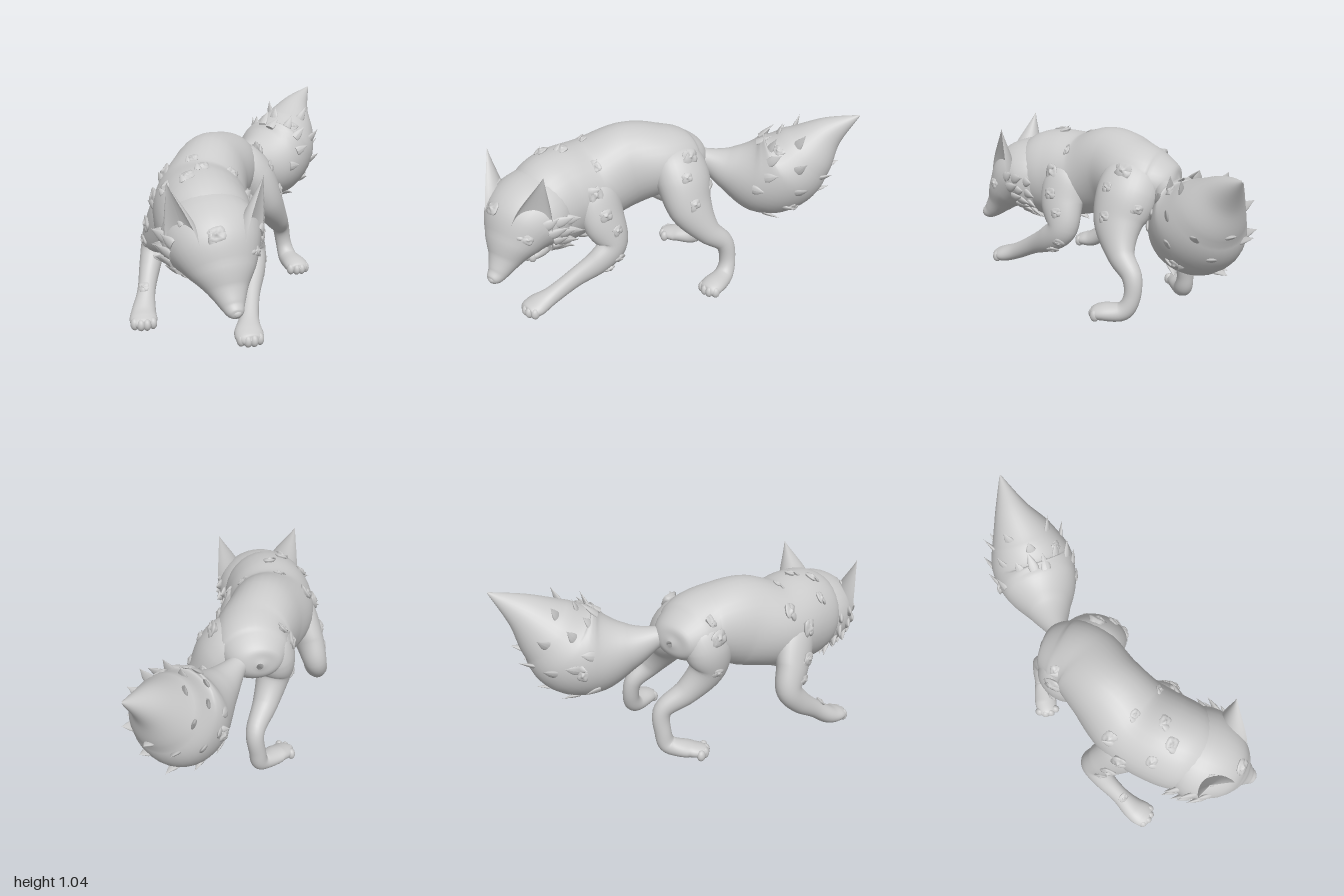
import * as THREE from 'three';

const V = (x, y, z) => new THREE.Vector3(x, y, z);
const material = new THREE.MeshStandardMaterial({ color: 0xcccccc });
const twoSided = new THREE.MeshStandardMaterial({ color: 0xcccccc, side: THREE.DoubleSide });

// Cross-sections along each part: x, y, z, half width, half depth
const BODY = [
  [-0.06, 0.73, -0.455, 0.02, 0.02], [-0.06, 0.73, -0.425, 0.13, 0.1], [-0.065, 0.735, -0.32, 0.2, 0.165],
  [-0.085, 0.75, -0.18, 0.225, 0.21], [-0.2, 0.73, 0, 0.23, 0.265], [-0.3, 0.66, 0.2, 0.265, 0.26],
  [-0.34, 0.63, 0.4, 0.27, 0.285], [-0.345, 0.605, 0.56, 0.25, 0.265], [-0.345, 0.58, 0.72, 0.15, 0.17]];
const HEAD = [
  [-0.345, 0.6, 0.42, 0.15, 0.15], [-0.345, 0.6, 0.52, 0.245, 0.24], [-0.345, 0.59, 0.63, 0.275, 0.245],
  [-0.34, 0.555, 0.72, 0.245, 0.22], [-0.328, 0.475, 0.805, 0.185, 0.145], [-0.318, 0.39, 0.87, 0.11, 0.088],
  [-0.31, 0.325, 0.93, 0.065, 0.057], [-0.305, 0.3, 0.975, 0.04, 0.035], [-0.303, 0.293, 0.995, 0.005, 0.005]];
const TAIL = [
  [0.0, 0.74, -0.36, 0.06, 0.06], [0.07, 0.715, -0.41, 0.065, 0.065], [0.19, 0.66, -0.5, 0.13, 0.14],
  [0.335, 0.63, -0.61, 0.225, 0.245], [0.45, 0.67, -0.71, 0.24, 0.27], [0.54, 0.785, -0.795, 0.195, 0.205],
  [0.63, 0.915, -0.89, 0.1, 0.11], [0.765, 1.035, -1, 0.004, 0.004]];
const HIND_LEFT = [
  [-0.03, 0.87, -0.21, 0.04, 0.05], [0.02, 0.79, -0.2, 0.12, 0.16], [0.1, 0.67, -0.18, 0.145, 0.185],
  [0.185, 0.52, -0.16, 0.115, 0.15], [0.28, 0.37, -0.21, 0.075, 0.085], [0.345, 0.27, -0.3, 0.055, 0.06],
  [0.37, 0.15, -0.31, 0.05, 0.05], [0.385, 0.065, -0.26, 0.06, 0.055], [0.4, 0.052, -0.15, 0.075, 0.05],
  [0.405, 0.045, -0.09, 0.06, 0.035], [0.405, 0.045, -0.07, 0.005, 0.005]];
const HIND_RIGHT = [
  [-0.1, 0.86, -0.27, 0.04, 0.04], [-0.14, 0.77, -0.27, 0.12, 0.14], [-0.19, 0.67, -0.26, 0.125, 0.165],
  [-0.19, 0.53, -0.27, 0.1, 0.13], [-0.12, 0.4, -0.37, 0.075, 0.08], [-0.03, 0.3, -0.49, 0.055, 0.06],
  [-0.04, 0.16, -0.51, 0.05, 0.05], [-0.07, 0.065, -0.49, 0.055, 0.055], [-0.19, 0.05, -0.43, 0.07, 0.045],
  [-0.26, 0.045, -0.39, 0.05, 0.03], [-0.275, 0.045, -0.38, 0.005, 0.005]];
const FRONT_LEFT = [
  [-0.2, 0.78, 0.29, 0.04, 0.05], [-0.15, 0.67, 0.3, 0.11, 0.14], [-0.08, 0.52, 0.31, 0.1, 0.14],
  [-0.025, 0.37, 0.29, 0.08, 0.1], [-0.04, 0.28, 0.38, 0.067, 0.085], [-0.1, 0.195, 0.53, 0.052, 0.06],
  [-0.15, 0.115, 0.67, 0.055, 0.052], [-0.18, 0.075, 0.77, 0.08, 0.05], [-0.185, 0.065, 0.83, 0.062, 0.035],
  [-0.185, 0.065, 0.85, 0.005, 0.005]];
const FRONT_RIGHT = [
  [-0.42, 0.74, 0.25, 0.04, 0.05], [-0.47, 0.64, 0.22, 0.11, 0.14], [-0.53, 0.48, 0.12, 0.09, 0.13],
  [-0.555, 0.36, 0.045, 0.075, 0.085], [-0.595, 0.25, 0.11, 0.062, 0.07], [-0.64, 0.15, 0.23, 0.052, 0.055],
  [-0.675, 0.07, 0.33, 0.07, 0.055], [-0.69, 0.05, 0.4, 0.078, 0.045], [-0.695, 0.045, 0.445, 0.058, 0.03],
  [-0.695, 0.045, 0.462, 0.005, 0.005]];

function curves(s) {
  const make = pts => new THREE.CatmullRomCurve3(pts, false, 'catmullrom', 0.5);
  return { path: make(s.map(p => V(p[0], p[1], p[2]))), radii: make(s.map(p => V(p[3], p[4], 0))) };
}

// Point, outward normal and direction of the surface at t along the part and angle a around it
function surface({ path, radii }, t, a) {
  const dir = path.getTangent(t), r = radii.getPoint(t);
  const u = V(1, 0, 0).addScaledVector(dir, -dir.x).normalize();
  const v = dir.clone().cross(u);
  const normal = u.clone().multiplyScalar(Math.cos(a)).addScaledVector(v, Math.sin(a));
  const point = path.getPoint(t)
    .addScaledVector(u, Math.cos(a) * Math.max(r.x, 0.002))
    .addScaledVector(v, Math.sin(a) * Math.max(r.y, 0.002));
  return { point, normal, dir };
}

function add(parent, name, geometry, mat = material) {
  const mesh = new THREE.Mesh(geometry, mat);
  mesh.name = name;
  parent.add(mesh);
  return mesh;
}

function loft(parent, name, sections, sides = 32) {
  const c = curves(sections), rings = (sections.length - 1) * 7, pos = [], index = [];
  for (let i = 0; i <= rings; i++)
    for (let j = 0; j < sides; j++) {
      pos.push(...surface(c, i / rings, j / sides * Math.PI * 2).point.toArray());
      if (i === rings) continue;
      const a = i * sides + j, b = i * sides + (j + 1) % sides;
      index.push(a, b, a + sides, b, b + sides, a + sides);
    }
  const g = new THREE.BufferGeometry();
  g.setAttribute('position', new THREE.Float32BufferAttribute(pos, 3));
  g.setIndex(index);
  g.computeVertexNormals();
  add(parent, name, g);
}

function reshape(g, rule) {
  const p = g.attributes.position, v = V(0, 0, 0);
  for (let i = 0; i < p.count; i++) {
    rule(v.fromBufferAttribute(p, i));
    p.setXYZ(i, v.x, v.y, v.z);
  }
  g.computeVertexNormals();
  return g;
}

const ball = new THREE.SphereGeometry(1, 16, 12);
// Uneven clump and a broad fur point, both growing along +y
const clump = reshape(new THREE.SphereGeometry(1, 14, 10), v =>
  v.multiplyScalar(1 + 0.22 * Math.sin(4 * v.x + 1) * Math.cos(5 * v.z) + 0.15 * Math.sin(6 * v.y)));
const furPoint = reshape(new THREE.ConeGeometry(0.32, 1, 12, 6).translate(0, 0.25, 0), v => {
  const swell = 1 + 0.5 * Math.sin(Math.PI * (v.y + 0.25));
  v.x *= swell;
  v.z *= 0.6 * swell;
});

// Plants a tuft on a part; lean tips it along the part, and its flat side faces outward
function grow(parent, name, geometry, c, t, deg, scale, lean) {
  const { point, normal, dir } = surface(c, t, deg * Math.PI / 180);
  const y = normal.clone().addScaledVector(dir, lean).normalize();
  const x = dir.clone().cross(normal).normalize();
  const m = add(parent, name, geometry);
  m.position.copy(point);
  m.quaternion.setFromRotationMatrix(new THREE.Matrix4().makeBasis(x, y, x.clone().cross(y)));
  m.scale.set(...scale);
}

function blob(parent, name, p, s) {
  const m = add(parent, name, ball);
  m.position.set(...p);
  m.scale.set(...s);
}

export function createModel() {
  const fox = new THREE.Group();
  fox.name = 'fox';
  const parts = { body: BODY, head: HEAD, tail: TAIL, hindLeftLeg: HIND_LEFT, hindRightLeg: HIND_RIGHT,
    frontLeftLeg: FRONT_LEFT, frontRightLeg: FRONT_RIGHT };
  const c = {};
  for (const [name, s] of Object.entries(parts)) {
    loft(fox, name, s);
    c[name] = curves(s);
  }

  // Toes fan across the end of each paw
  for (const s of [HIND_LEFT, HIND_RIGHT, FRONT_LEFT, FRONT_RIGHT]) {
    const [x, y, z] = s[s.length - 2], [x0, , z0] = s[s.length - 3];
    const d = V(x - x0, 0, z - z0).normalize();
    for (const k of [-1.5, -0.5, 0.5, 1.5]) {
      const back = 0.009 * k * k - 0.002;
      blob(fox, 'toe', [x + d.z * k * 0.034 - d.x * back, y - 0.005, z - d.x * k * 0.034 - d.z * back],
        [0.024, 0.035, 0.028]);
    }
  }

  // Ears: cones with a hollow front, turned outward
  for (const side of [1, -1]) {
    const g = reshape(new THREE.ConeGeometry(0.115, 0.36, 28, 10).translate(0, 0.18, 0), v => {
      const swell = 1 + 8 * v.y * (0.36 - v.y);
      v.x *= swell;
      v.z *= swell * (v.z > 0 ? -0.35 : 0.9);
    });
    const ear = add(fox, side > 0 ? 'leftEar' : 'rightEar', g, twoSided);
    ear.position.set(-0.345 + side * 0.19, 0.6, 0.785);
    ear.rotation.set(-0.17, side * 0.85, -side * 0.19, 'ZXY');
    blob(fox, 'eye', [-0.327 + side * 0.105, 0.53, 0.855], [0.035, 0.018, 0.02]);
    blob(fox, 'brow', [-0.33 + side * 0.11, 0.575, 0.838], [0.06, 0.022, 0.03]);
  }
  blob(fox, 'nose', [-0.304, 0.303, 0.977], [0.028, 0.022, 0.02]);

  // Cheek ruff: fur points sweeping back in rows on both sides
  for (const left of [true, false])
    for (let row = 0; row < 3; row++)
      for (let k = 0; k < 5; k++) {
        const deg = 5 - k * 18 + row * 6;
        grow(fox, 'cheekFur', furPoint, c.head, 0.17 + row * 0.08, left ? deg : 180 - deg,
          [0.1, 0.09 + 0.025 * ((k + row) % 2), 0.08], -1.5);
      }

  // Tail fur: points spiralling around the thick part, swept toward the tip
  for (let i = 0; i < 26; i++)
    grow(fox, 'tailFur', furPoint, c.tail, 0.42 + 0.36 * i / 26, i * 137.5,
      [0.09, 0.08 + 0.012 * (i % 4), 0.06], 2.2);

  // Chest fur
  for (let i = 0; i < 8; i++)
    grow(fox, 'chestFur', furPoint, c.body, 0.68 + 0.025 * (i % 4), -125 + i * 10, [0.1, 0.08, 0.08], -1.5);

  // Clumps on the coat: part, position along, angle around, size
  const clumps = [
    ['body', 0.6, 150, 0.045], ['body', 0.6, 105, 0.028], ['body', 0.62, 50, 0.03], ['body', 0.72, 90, 0.035],
    ['body', 0.77, 110, 0.038], ['body', 0.7, 15, 0.05], ['body', 0.66, -5, 0.04], ['body', 0.66, 170, 0.05],
    ['body', 0.74, 140, 0.035], ['body', 0.3, 140, 0.035],
    ['head', 0.4, 100, 0.045], ['head', 0.46, 25, 0.03], ['head', 0.3, 130, 0.035],
    ['hindLeftLeg', 0.13, 10, 0.05], ['hindLeftLeg', 0.2, 30, 0.032], ['hindLeftLeg', 0.29, 20, 0.032],
    ['hindLeftLeg', 0.24, -40, 0.03], ['hindRightLeg', 0.16, 190, 0.05], ['hindRightLeg', 0.28, 200, 0.03],
    ['frontLeftLeg', 0.2, 20, 0.038], ['frontLeftLeg', 0.27, 0, 0.032], ['frontLeftLeg', 0.38, -30, 0.035],
    ['frontLeftLeg', 0.44, -50, 0.035], ['frontRightLeg', 0.2, 180, 0.045], ['frontRightLeg', 0.27, 165, 0.035],
    ['frontRightLeg', 0.4, 60, 0.035], ['frontRightLeg', 0.56, 110, 0.03],
    ['tail', 0.5, 160, 0.035], ['tail', 0.55, 20, 0.03], ['tail', 0.66, 270, 0.03]];
  for (const [part, t, deg, size] of clumps) {
    grow(fox, 'furClump', clump, c[part], t, deg, [size, size * 0.5, size * 0.85], 0.2);
    grow(fox, 'clumpPoint', furPoint, c[part], t + 0.012, deg + 6, [size * 1.8, size * 1.5, size * 1.5], -1.5);
  }
  return fox;
}
